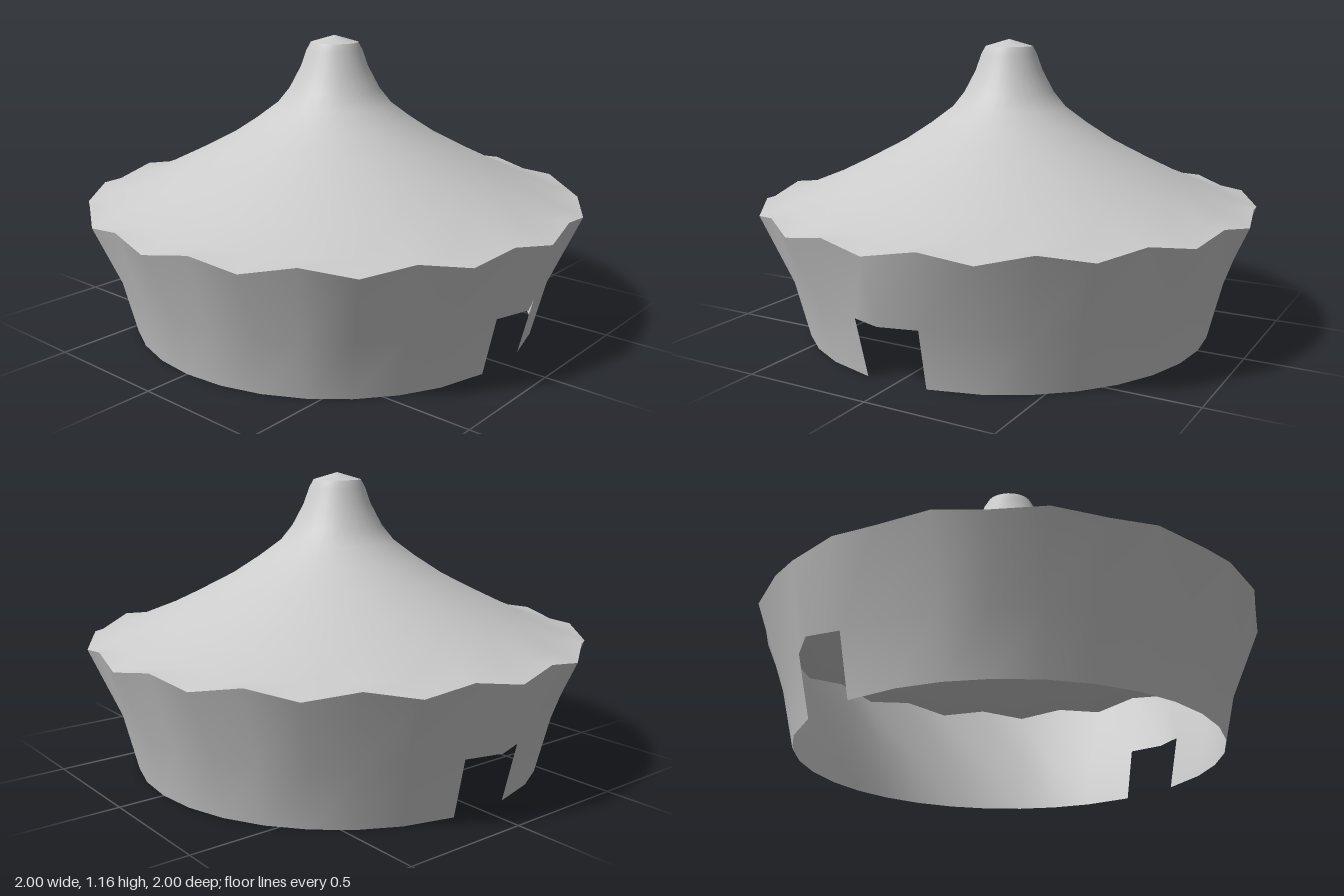
import * as THREE from 'three';

const SEGMENTS = 32;
const DOORS = [8, 24]; // columns at the front and back

// Closed smooth skin: rows of rings from bottom to top, point(row, column) -> [x, y, z]
function ringSkin(name, rows, point, material, isOpen = () => false) {
  const positions = [];
  const index = [];
  for (let i = 0; i < rows; i++) {
    for (let j = 0; j < SEGMENTS; j++) positions.push(...point(i, j));
  }
  for (let i = 0; i < rows - 1; i++) {
    for (let j = 0; j < SEGMENTS; j++) {
      if (isOpen(i, j)) continue;
      const a = i * SEGMENTS + j;
      const b = i * SEGMENTS + ((j + 1) % SEGMENTS);
      const c = a + SEGMENTS;
      const d = b + SEGMENTS;
      index.push(a, c, b, b, c, d);
    }
  }
  const geometry = new THREE.BufferGeometry();
  geometry.setAttribute('position', new THREE.Float32BufferAttribute(positions, 3));
  geometry.setIndex(index);
  geometry.computeVertexNormals();
  const mesh = new THREE.Mesh(geometry, material);
  mesh.name = name;
  return mesh;
}

function polar(r, y, j, angle = (j / SEGMENTS) * Math.PI * 2) {
  return [r * Math.cos(angle), y, r * Math.sin(angle)];
}

// Scalloped eave: sixteen low outer corners with raised edge midpoints
function eave(j) {
  return j % 2 === 0 ? polar(1, 0.5, j) : polar(0.981, 0.53, j);
}

export function createModel() {
  const group = new THREE.Group();
  group.name = 'roundTent';
  const material = new THREE.MeshStandardMaterial({ color: 0xcccccc, side: THREE.DoubleSide });

  // Flared wall, open below, with a doorway at front and back
  const wallProfile = [[0.822, 0], [0.878, 0.225]];
  const wallPoint = (row, j) => {
    if (row === 2) return eave(j);
    const [r, y] = wallProfile[row];
    for (const door of DOORS) {
      const side = j - door;
      // Lintel peak pushed outward, jambs drawn in to the door width
      if (side === 0 && row === 1) return polar(0.92, 0.237, j);
      if (Math.abs(side) === 1) {
        const angle = (door / SEGMENTS) * Math.PI * 2 + side * 0.151;
        return polar(r, row === 1 ? 0.23 : 0, j, angle);
      }
    }
    return polar(r, y, j);
  };
  const isDoor = (row, j) => row === 0 && DOORS.some((d) => j === d || j === d - 1);
  group.add(ringSkin('wall', 3, wallPoint, material, isDoor));

  // Sweeping roof rising to a narrow neck
  const roofProfile = [
    [0.9, 0.534], [0.735, 0.6], [0.58, 0.675], [0.43, 0.753], [0.32, 0.825], [0.23, 0.892],
    [0.182, 0.952], [0.135, 1.04], [0.112, 1.105], [0.095, 1.136],
  ];
  const roofPoint = (row, j) => (row === 0 ? eave(j) : polar(...roofProfile[row - 1], j));
  group.add(ringSkin('roof', roofProfile.length + 1, roofPoint, material));

  // Shallow cap closing the neck
  const cap = new THREE.Mesh(new THREE.ConeGeometry(0.095, 0.028, SEGMENTS, 1, true), material);
  cap.name = 'cap';
  cap.position.y = 1.15;
  group.add(cap);

  return group;
}
